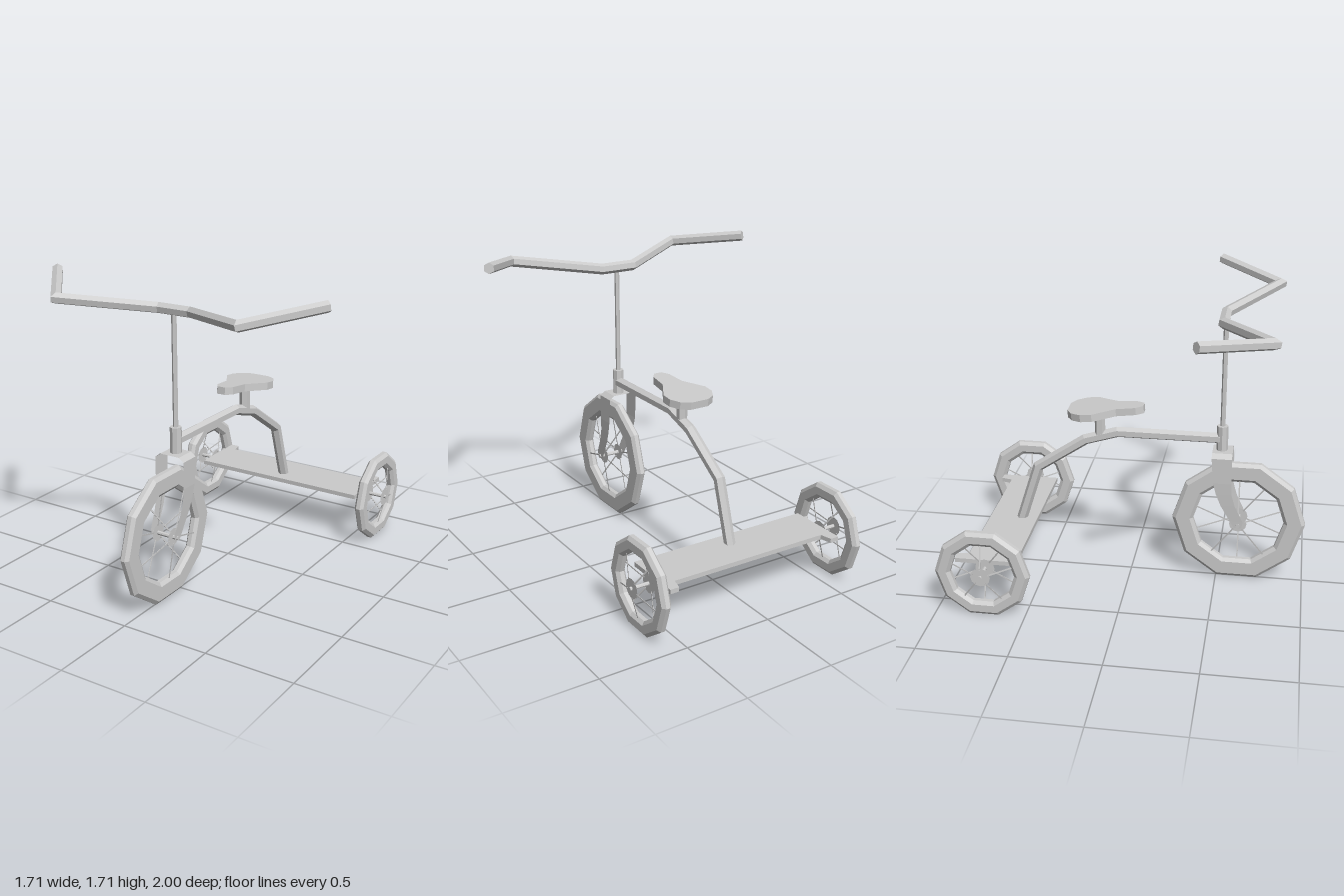
import * as THREE from 'three';

const material = new THREE.MeshStandardMaterial({ color: 0xcccccc, flatShading: true });
const sheetMaterial = new THREE.MeshStandardMaterial({ color: 0xcccccc, flatShading: true, side: THREE.DoubleSide });
const vec = (x, y, z) => new THREE.Vector3(x, y, z);

function add(parent, name, geometry, mat = material) {
  const mesh = new THREE.Mesh(geometry, mat);
  mesh.name = name;
  parent.add(mesh);
  return mesh;
}

// Capped polygonal tube with mitred corners along a list of points
function bentTube(points, radius, sides, up) {
  const dirs = points.slice(1).map((p, i) => p.clone().sub(points[i]).normalize());
  const u = up.clone().addScaledVector(dirs[0], -up.dot(dirs[0])).normalize();
  const v = dirs[0].clone().cross(u);
  let ring = [];
  for (let i = 0; i < sides; i++) {
    const a = (i / sides) * Math.PI * 2;
    ring.push(points[0].clone().addScaledVector(u, radius * Math.cos(a)).addScaledVector(v, radius * Math.sin(a)));
  }
  const rings = [ring];
  for (let j = 1; j < points.length; j++) {
    const d = dirs[j - 1];
    const n = j < dirs.length ? d.clone().add(dirs[j]).normalize() : d;
    ring = ring.map((p) => p.clone().addScaledVector(d, points[j].clone().sub(p).dot(n) / d.dot(n)));
    rings.push(ring);
  }
  const verts = [...rings.flat(), points[0], points[points.length - 1]];
  const index = [];
  const last = (rings.length - 1) * sides;
  for (let i = 0; i < sides; i++) {
    const k = (i + 1) % sides;
    for (let j = 0; j < rings.length - 1; j++) {
      const a = j * sides + i, b = j * sides + k;
      index.push(a, b, b + sides, a, b + sides, a + sides);
    }
    index.push(verts.length - 2, k, i, verts.length - 1, last + i, last + k);
  }
  const geometry = new THREE.BufferGeometry().setFromPoints(verts);
  geometry.setIndex(index);
  geometry.computeVertexNormals();
  return geometry;
}

// Horizontal plate mirrored in x, from half-outline points [x, z]
function plate(half, thickness) {
  const right = half.map(([x, z]) => new THREE.Vector2(x, -z));
  const left = half.map(([x, z]) => new THREE.Vector2(-x, -z)).reverse();
  const shape = new THREE.Shape([...right, ...left]);
  return new THREE.ExtrudeGeometry(shape, { depth: thickness, bevelEnabled: false }).rotateX(-Math.PI / 2);
}

// Ten-sided tyre, two flat hub discs and alternating flat spokes; axle along x
function wheel(name, outer, inner, hubRadius) {
  const group = new THREE.Group();
  group.name = name;
  const w = 0.028, c = 0.012, b = 0.02;
  const profile = [
    [inner, -c], [inner + b, -w], [outer - b, -w], [outer, -c],
    [outer, c], [outer - b, w], [inner + b, w], [inner, c], [inner, -c],
  ].map(([x, y]) => new THREE.Vector2(x, y));
  add(group, 'tyre', new THREE.LatheGeometry(profile, 10).rotateZ(Math.PI / 2));

  const hubX = 0.05, rimX = 0.015;
  for (const s of [-1, 1]) {
    add(group, 'hubDisc', new THREE.CircleGeometry(hubRadius, 12).rotateY(Math.PI / 2).translate(s * hubX, 0, 0), sheetMaterial);
  }
  const r0 = hubRadius * 0.8, r1 = inner;
  const dx = rimX - hubX, dy = r1 - r0;
  for (let k = 0; k < 10; k++) {
    const s = k % 2 ? 1 : -1;
    const spoke = new THREE.BoxGeometry(0.002, Math.hypot(dx, dy), 0.008)
      .rotateZ(Math.atan2(-s * dx, dy))
      .translate(s * (hubX + rimX) / 2, (r0 + r1) / 2, 0)
      .rotateX((k * Math.PI) / 5);
    add(group, 'spoke', spoke);
  }
  return group;
}

// Inverted U of thin sheet; stations are [x, y, zBack, zFront] of one side
function forkSheet(half) {
  const rows = [...half.map(([x, ...r]) => [-x, ...r]).reverse(), ...half];
  const points = rows.flatMap(([x, y, z0, z1]) => [vec(x, y, z0), vec(x, y, z1)]);
  const index = [];
  for (let i = 0; i < rows.length - 1; i++) {
    const a = i * 2;
    index.push(a, a + 1, a + 3, a, a + 3, a + 2);
  }
  const geometry = new THREE.BufferGeometry().setFromPoints(points);
  geometry.setIndex(index);
  geometry.computeVertexNormals();
  return geometry;
}

const axle = (radius, length) => new THREE.CylinderGeometry(radius, radius, length, 8).rotateZ(Math.PI / 2);

export function createModel() {
  const model = new THREE.Group();
  model.name = 'tricycle';

  // Wheels and axles
  const front = wheel('frontWheel', 0.38, 0.26, 0.05);
  front.position.set(0, 0.375, 0.62);
  model.add(front);
  add(model, 'frontAxle', axle(0.012, 0.164)).position.copy(front.position);
  for (const s of [-1, 1]) {
    const rear = wheel(s > 0 ? 'rearWheelLeft' : 'rearWheelRight', 0.265, 0.18, 0.055);
    rear.position.set(s * 0.608, 0.26, -0.73);
    model.add(rear);
  }
  add(model, 'rearAxle', axle(0.011, 1.34)).position.set(0, 0.26, -0.73);

  // Fork, head tube and steering stem
  add(model, 'fork', forkSheet([
    [0.06, 0.812, 0.462, 0.575], [0.09, 0.79, 0.462, 0.575], [0.09, 0.64, 0.474, 0.577],
    [0.087, 0.57, 0.492, 0.58], [0.083, 0.5, 0.52, 0.6], [0.077, 0.4, 0.575, 0.648],
    [0.075, 0.36, 0.6, 0.642],
  ]), sheetMaterial);
  add(model, 'headTube', new THREE.CylinderGeometry(0.032, 0.032, 0.145, 8)).position.set(0, 0.883, 0.513);
  add(model, 'stem', new THREE.CylinderGeometry(0.014, 0.014, 0.64, 6)).position.set(0, 1.26, 0.513);

  // Handlebar, swept forward and then back to the grips
  const barHalf = [[0.1, 1.58, 0.505], [0.545, 1.628, 0.78], [0.832, 1.688, 0.428]];
  const bar = [
    ...barHalf.map(([x, y, z]) => vec(-x, y, z)).reverse(),
    ...barHalf.map(([x, y, z]) => vec(x, y, z)),
  ];
  add(model, 'handlebar', bentTube(bar, 0.031, 6, vec(0, 1, 0)));

  // Backbone tube from the head down to the deck
  const spine = [[0.88, 0.5], [0.88, -0.08], [0.823, -0.265], [0.635, -0.545], [0.29, -0.655]];
  add(model, 'frameTube', bentTube(spine.map(([y, z]) => vec(0, y, z)), 0.031, 6, vec(0, 1, 0)));

  // Saddle on its post
  add(model, 'seatPost', new THREE.CylinderGeometry(0.03, 0.03, 0.15, 6)).position.set(0, 0.92, -0.18);
  const saddle = add(model, 'saddle', plate([
    [0.025, 0.212], [0.052, 0.17], [0.062, 0.06], [0.1, -0.005], [0.136, -0.065],
    [0.136, -0.13], [0.105, -0.185], [0.055, -0.215],
  ], 0.042));
  saddle.position.set(0, 0.995, -0.137);
  saddle.rotation.x = -0.09;

  // Rear standing deck with two short ears behind
  add(model, 'deck', plate([
    [0.54, -0.56], [0.54, -0.905], [0.488, -0.905], [0.473, -0.84],
  ], 0.025)).position.y = 0.275;

  return model;
}
